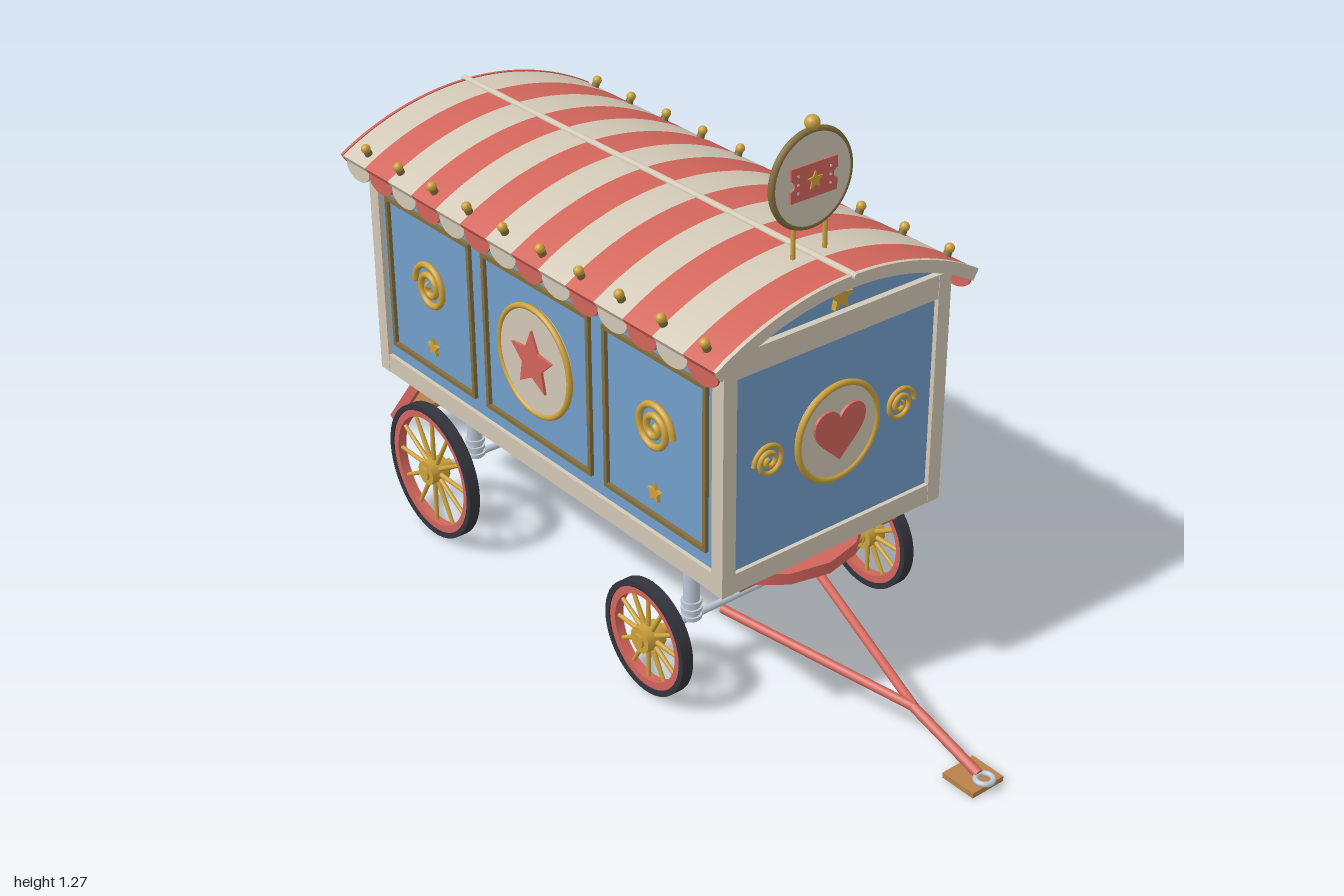
import * as THREE from 'three';
import { toCreasedNormals } from 'three/addons/utils/BufferGeometryUtils.js';

const mat = (name, color) => new THREE.MeshStandardMaterial({ name, color });
const red = mat('red paint', 0xd2655a), cream = mat('cream paint', 0xd2c8b6), blue = mat('blue paint', 0x739ecb);
const gold = mat('gold', 0xcda23c), bronze = mat('bronze trim', 0x84703f), wood = mat('wood', 0xb8824a);
const steel = mat('steel', 0xbdc8d4), dark = mat('dark rubber', 0x34343d), glass = mat('window glass', 0xb9c6d2);

const V = (x, y, z) => new THREE.Vector3(x, y, z);

function add(parent, name, geo, material, x = 0, y = 0, z = 0) {
  const m = new THREE.Mesh(geo, material);
  m.name = name;
  m.position.set(x, y, z);
  parent.add(m);
  return m;
}
const box = (p, name, m, w, h, d, x, y, z) => add(p, name, new THREE.BoxGeometry(w, h, d), m, x, y, z);
const ball = (p, name, m, r, x, y, z) => add(p, name, new THREE.SphereGeometry(r, 16, 10), m, x, y, z);

function rod(p, name, m, a, b, r, r2 = r) {
  const o = add(p, name, new THREE.CylinderGeometry(r2, r, a.distanceTo(b), 14), m);
  o.position.copy(a).lerp(b, 0.5);
  o.quaternion.setFromUnitVectors(V(0, 1, 0), b.clone().sub(a).normalize());
  return o;
}
function beam(p, name, m, a, b, w, h) {
  const o = new THREE.Mesh(new THREE.BoxGeometry(w, h, a.distanceTo(b)), m);
  o.name = name;
  o.position.copy(a).lerp(b, 0.5);
  o.lookAt(b);
  p.add(o);
}
function plate(p, name, shape, depth, m, x = 0, y = 0, z = 0) {
  const g = new THREE.ExtrudeGeometry(shape, { depth, bevelEnabled: false, curveSegments: 24 });
  return add(p, name, toCreasedNormals(g, 0.5), m, x, y, z);
}

// Flat shapes
const disc = r => new THREE.Shape().absarc(0, 0, r, 0, Math.PI * 2);
function ring(r, inner) {
  const s = disc(r);
  s.holes.push(new THREE.Path().absarc(0, 0, inner, 0, Math.PI * 2, true));
  return s;
}
function star(r) {
  const pts = [];
  for (let i = 0; i < 10; i++) {
    const a = Math.PI / 2 + i * Math.PI / 5, k = i % 2 ? r * 0.48 : r;
    pts.push(new THREE.Vector2(Math.cos(a) * k, Math.sin(a) * k));
  }
  return new THREE.Shape(pts);
}
function heart(s) {
  return new THREE.Shape().moveTo(0, -s)
    .bezierCurveTo(s * 0.5, -s * 0.5, s * 1.1, -s * 0.1, s * 1.1, s * 0.4)
    .bezierCurveTo(s * 1.1, s * 1.05, s * 0.2, s * 1.1, 0, s * 0.55)
    .bezierCurveTo(-s * 0.2, s * 1.1, -s * 1.1, s * 1.05, -s * 1.1, s * 0.4)
    .bezierCurveTo(-s * 1.1, -s * 0.1, -s * 0.5, -s * 0.5, 0, -s);
}
const rect = (w, h) => new THREE.Shape().moveTo(-w / 2, -h / 2).lineTo(w / 2, -h / 2).lineTo(w / 2, h / 2).lineTo(-w / 2, h / 2);
function frame(w, h, t) {
  const s = rect(w, h);
  s.holes.push(rect(w - 2 * t, h - 2 * t));
  return s;
}
const arch = (r, spring, low) => new THREE.Shape().moveTo(-r, low).lineTo(r, low).lineTo(r, spring).absarc(0, spring, r, 0, Math.PI);
const scallop = (w, drop) => new THREE.Shape().moveTo(w / 2, 0).lineTo(-w / 2, 0).lineTo(-w / 2, -drop * 0.4)
  .absellipse(0, -drop * 0.4, w / 2, drop * 0.6, Math.PI, Math.PI * 2);
const ROOF_R = 0.674, ROOF_Y = 0.975 - ROOF_R;
function roofArc(half, outer, inner) {
  const a = Math.asin(half / ROOF_R), c = Math.PI / 2;
  return new THREE.Shape().absarc(0, ROOF_Y, outer, c - a, c + a).absarc(0, ROOF_Y, inner, c + a, c - a, true);
}

// Wall ornaments, all facing local +z
function swirl(p, x, y, r, flip) {
  const pts = [];
  for (let i = 0; i <= 40; i++) {
    const t = i / 40, a = t * Math.PI * 4.4, k = r * (1 - 0.88 * t);
    pts.push(V(flip * Math.cos(a) * k, Math.sin(a) * k, 0));
  }
  add(p, 'swirl', new THREE.TubeGeometry(new THREE.CatmullRomCurve3(pts), 100, r * 0.13, 8), gold, x, y, 0.005);
}
function medallion(p, x, y, r, emblem) {
  plate(p, 'medallion', disc(r), 0.012, cream, x, y, 0);
  add(p, 'medallionRing', new THREE.TorusGeometry(r, 0.007, 8, 48), gold, x, y, 0.01);
  plate(p, 'medallionEmblem', emblem, 0.006, red, x, y, 0.012);
}
function wall(p, name, angle, dist) {
  const turn = new THREE.Group(), g = new THREE.Group();
  turn.name = name;
  turn.position.z = -0.1;
  turn.rotation.y = angle;
  g.position.z = dist;
  turn.add(g);
  p.add(turn);
  return g;
}

function addWheel(p, x, y, z, R) {
  const w = new THREE.Group();
  w.name = 'wheel';
  w.position.set(x, y, z);
  w.rotation.y = Math.PI / 2;
  p.add(w);
  plate(w, 'tyre', ring(R, R - 0.013), 0.028, dark, 0, 0, -0.014);
  plate(w, 'rim', ring(R - 0.012, R - 0.03), 0.022, red, 0, 0, -0.011);
  for (let i = 0; i < 12; i++) {
    const c = Math.cos(i * Math.PI / 6), s = Math.sin(i * Math.PI / 6);
    rod(w, 'spoke', gold, V(c * 0.02, s * 0.02, 0), V(c * (R - 0.025), s * (R - 0.025), 0), 0.006, 0.0045);
  }
  rod(w, 'hub', gold, V(0, 0, -0.024), V(0, 0, 0.024), 0.03);
  rod(w, 'hubCap', gold, V(0, 0, -0.03), V(0, 0, 0.03), 0.016);
}

export function createModel() {
  const root = new THREE.Group(), g = new THREE.Group();
  root.name = 'showWagon';
  g.name = 'wagon';
  g.position.x = -0.04;
  root.add(g);

  // Body with cream timber frame
  box(g, 'body', blue, 0.58, 0.53, 1.22, 0, 0.61, -0.1);
  for (const s of [-1, 1]) {
    for (const e of [-1, 1]) box(g, 'cornerPost', cream, 0.034, 0.54, 0.034, s * 0.284, 0.61, -0.1 + e * 0.604);
    for (const [y, h] of [[0.3625, 0.045], [0.853, 0.054]]) {
      box(g, 'sideBeam', cream, 0.03, h, 1.2, s * 0.285, y, -0.1);
      box(g, 'endBeam', cream, 0.55, h, 0.03, 0, y, -0.1 + s * 0.605);
    }
  }
  const a = Math.asin(0.3 / ROOF_R), c = Math.PI / 2;
  const gable = new THREE.Shape().moveTo(-0.295, 0.875).lineTo(0.295, 0.875).absarc(0, ROOF_Y, ROOF_R - 0.01, c - a, c + a);
  plate(g, 'gable', gable, 1.21, blue, 0, 0, -0.705);

  // Striped roof, valance and lamps
  const z0 = -0.755, sw = 1.3 / 14;
  for (let i = 0; i < 14; i++) {
    const m = i % 2 ? red : cream;
    plate(g, 'roofStripe', roofArc(0.345, ROOF_R, ROOF_R - 0.014), sw, m, 0, 0, z0 + i * sw);
    for (const s of [-1, 1]) {
      const v = plate(g, 'valanceScallop', scallop(sw, 0.05), 0.005, m, s * 0.33, 0.88, z0 + (i + 0.5) * sw);
      v.rotation.y = s * Math.PI / 2;
    }
  }
  plate(g, 'roofFrontTrim', roofArc(0.345, ROOF_R + 0.002, ROOF_R - 0.025), 0.01, cream, 0, 0, 0.542);
  plate(g, 'roofBackTrim', roofArc(0.345, ROOF_R + 0.002, ROOF_R - 0.02), 0.008, red, 0, 0, -0.761);
  rod(g, 'ridgePole', cream, V(0, 0.975, -0.77), V(0, 0.975, 0.56), 0.008);
  for (let i = 0; i < 10; i++) for (const s of [-1, 1]) {
    const z = 0.49 - i * 0.131;
    rod(g, 'lampBase', bronze, V(s * 0.313, 0.89, z), V(s * 0.32, 0.906, z), 0.009);
    ball(g, 'lamp', gold, 0.011, s * 0.323, 0.912, z);
  }

  // Front wall
  const front = wall(g, 'frontWall', 0, 0.61);
  medallion(front, 0, 0.615, 0.107, heart(0.062));
  for (const s of [-1, 1]) swirl(front, s * 0.178, 0.61, 0.04, s);
  plate(front, 'gableStar', star(0.03), 0.012, gold, 0, 0.915, -0.002);

  // Back wall with door
  const back = wall(g, 'backWall', Math.PI, 0.61);
  plate(back, 'doorFrame', frame(0.26, 0.46, 0.018), 0.018, red, 0, 0.6, 0);
  box(back, 'door', cream, 0.225, 0.425, 0.01, 0, 0.6, 0.005);
  plate(back, 'porthole', disc(0.045), 0.004, glass, 0, 0.69, 0.01);
  add(back, 'portholeRing', new THREE.TorusGeometry(0.047, 0.008, 8, 32), gold, 0, 0.69, 0.012);
  plate(back, 'doorStar', star(0.035), 0.006, gold, 0, 0.51, 0.01);
  ball(back, 'doorKnob', gold, 0.011, -0.09, 0.58, 0.02);
  plate(back, 'gableStar', star(0.03), 0.012, gold, 0, 0.915, -0.002);

  // Side walls with ornament panels
  const right = wall(g, 'windowWall', Math.PI / 2, 0.29), left = wall(g, 'medallionWall', -Math.PI / 2, 0.29);
  for (const w of [right, left]) for (const s of [-1, 1]) {
    plate(w, 'panelMoulding', frame(0.33, 0.38, 0.01), 0.009, bronze, s * 0.4, 0.61, 0);
    swirl(w, s * 0.4, 0.63, 0.06, s);
    plate(w, 'panelStar', star(0.022), 0.008, gold, s * 0.4, 0.48, 0);
  }
  plate(left, 'panelMoulding', frame(0.38, 0.38, 0.01), 0.009, bronze, 0, 0.61, 0);
  medallion(left, 0, 0.615, 0.125, star(0.075));

  // Serving window
  const win = arch(0.13, 0.655, 0.49);
  win.holes.push(arch(0.115, 0.655, 0.505));
  plate(right, 'windowFrame', win, 0.016, cream);
  plate(right, 'windowPane', arch(0.118, 0.655, 0.5), 0.004, glass);
  box(right, 'mullion', cream, 0.01, 0.27, 0.01, 0, 0.635, 0.006);
  box(right, 'transom', cream, 0.23, 0.01, 0.01, 0, 0.655, 0.006);
  add(right, 'bell', new THREE.SphereGeometry(0.03, 16, 8, 0, Math.PI * 2, 0, Math.PI / 2), dark, 0, 0.495, 0.012);
  box(right, 'shelf', wood, 0.32, 0.013, 0.088, 0, 0.477, 0.05);
  const bracket = new THREE.Shape().moveTo(0, 0.472).lineTo(0, 0.42).lineTo(0.06, 0.472);
  for (const s of [-1, 1]) plate(right, 'shelfBracket', bracket, 0.014, cream, s * 0.115 + 0.007, 0, 0).rotation.y = -Math.PI / 2;
  rod(right, 'cup', red, V(0.07, 0.483, 0.045), V(0.07, 0.507, 0.045), 0.01, 0.013);
  rod(right, 'cupLid', gold, V(0.07, 0.507, 0.045), V(0.07, 0.512, 0.045), 0.014);

  // Striped awning
  for (let i = 0; i < 9; i++) {
    const x = (i - 4) * 0.04, m = i % 2 ? cream : red;
    beam(right, 'awningStripe', m, V(x, 0.815, 0), V(x, 0.745, 0.128), 0.04, 0.006);
    plate(right, 'awningScallop', scallop(0.04, 0.04), 0.005, m, x, 0.747, 0.124);
  }
  for (const s of [-1, 1]) rod(right, 'awningArm', bronze, V(s * 0.165, 0.72, 0), V(s * 0.165, 0.741, 0.122), 0.004);

  // Roof sign
  const sign = new THREE.Group();
  sign.name = 'roofSign';
  sign.position.set(0, 1.135, 0.42);
  g.add(sign);
  plate(sign, 'signDisc', disc(0.1), 0.014, cream, 0, 0, -0.007);
  add(sign, 'signRing', new THREE.TorusGeometry(0.1, 0.008, 8, 48), bronze);
  const ticket = new THREE.Shape().moveTo(-0.06, -0.036).lineTo(0.06, -0.036).absarc(0.06, 0, 0.01, -c, c, true)
    .lineTo(0.06, 0.036).lineTo(-0.06, 0.036).absarc(-0.06, 0, 0.01, c, -c, true);
  for (const s of [-1, 1]) {
    const face = new THREE.Group();
    face.name = 'signFace';
    face.rotation.y = s > 0 ? 0 : Math.PI;
    sign.add(face);
    plate(face, 'ticket', ticket, 0.004, red, 0, 0, 0.007);
    plate(face, 'ticketStar', star(0.02), 0.004, gold, 0, 0, 0.01);
    for (const e of [-1, 1]) for (let k = -1; k <= 1; k++) plate(face, 'ticketDot', disc(0.003), 0.002, cream, e * 0.042, k * 0.018, 0.01);
    rod(sign, 'signPost', gold, V(s * 0.042, -0.18, 0), V(s * 0.042, -0.09, 0), 0.005);
  }
  ball(sign, 'signFinial', gold, 0.016, 0, 0.116, 0);

  // Chassis, turntable, axles and wheels
  rod(g, 'turntable', red, V(0, 0.27, 0.3), V(0, 0.297, 0.3), 0.212);
  for (const s of [-1, 1]) box(g, 'chassisRail', red, 0.042, 0.042, 1.15, s * 0.198, 0.321, -0.095);
  for (const [y, z, R, top] of [[0.136, 0.3, 0.13, 0.275], [0.166, -0.497, 0.164, 0.305]]) {
    rod(g, 'axle', steel, V(-0.32, y, z), V(0.32, y, z), 0.008);
    for (const s of [-1, 1]) {
      rod(g, 'strut', steel, V(s * 0.198, y - 0.005, z), V(s * 0.198, top, z), 0.018);
      for (let k = 0; k < 3; k++) rod(g, 'strutCollar', steel, V(s * 0.198, y + k * 0.018, z), V(s * 0.198, y + 0.008 + k * 0.018, z), 0.023);
      addWheel(g, s * 0.314, y, z, R);
      rod(g, 'axleSleeve', gold, V(s * 0.27, y, z), V(s * 0.3, y, z), 0.014);
    }
  }

  // Drawbar and hitch
  for (const s of [-1, 1]) rod(g, 'drawbarArm', red, V(s * 0.13, 0.136, 0.32), V(0, 0.08, 0.775), 0.01);
  rod(g, 'drawbar', red, V(0, 0.08, 0.77), V(0, 0.024, 0.96), 0.011);
  box(g, 'hitchBlock', wood, 0.086, 0.012, 0.085, 0, 0.008, 0.945);
  add(g, 'hitchRing', new THREE.TorusGeometry(0.018, 0.006, 8, 24), steel, 0, 0.022, 0.976).rotation.x = Math.PI / 2;

  // Back steps
  for (const s of [-1, 1]) beam(g, 'stepStringer', red, V(s * 0.115, 0.345, -0.725), V(s * 0.115, 0.01, -0.988), 0.012, 0.028);
  for (let i = 0; i < 3; i++) box(g, 'stepTread', wood, 0.222, 0.014, 0.07, 0, 0.25 - i * 0.0875, -0.79 - i * 0.064);
  return root;
}
